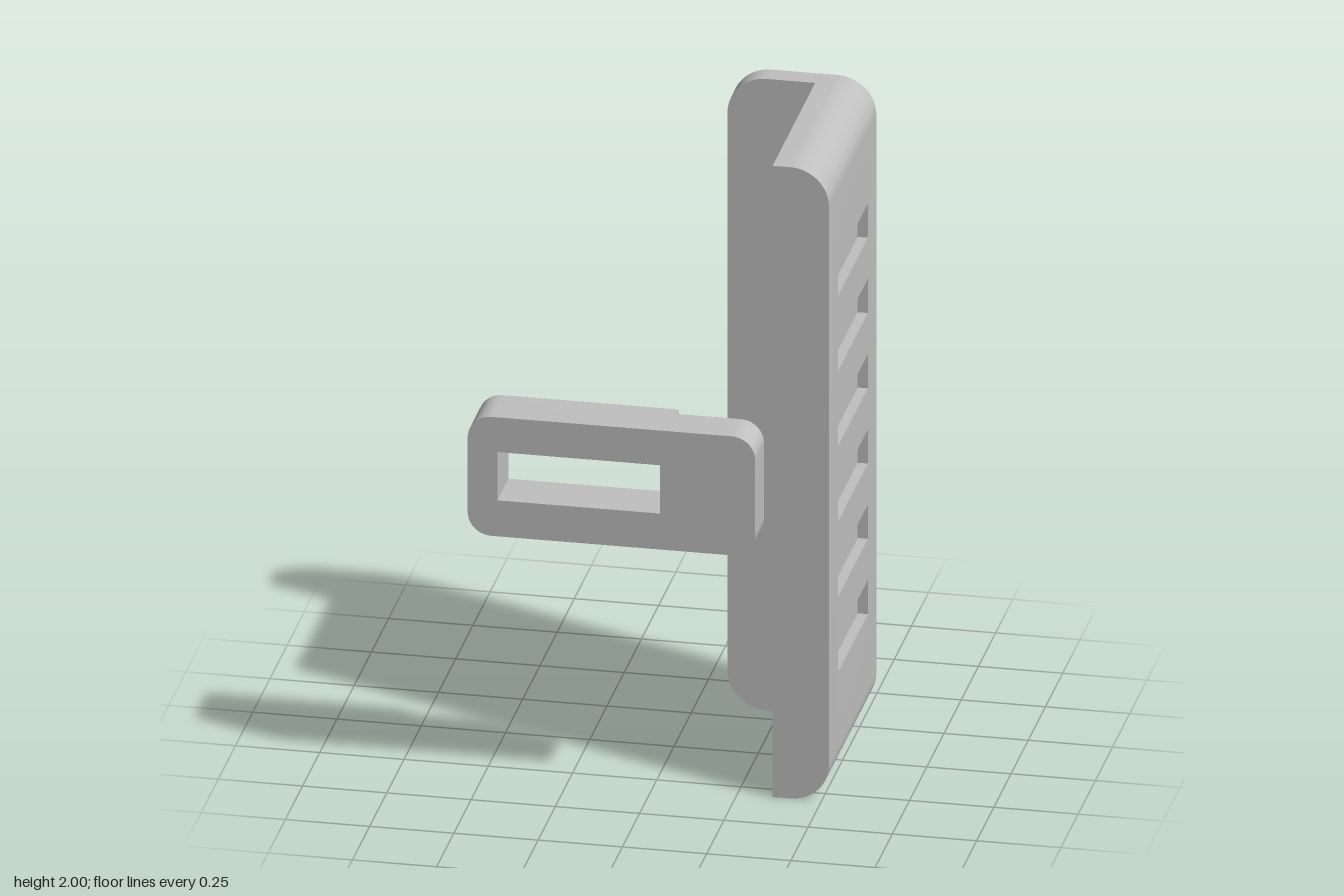
import * as THREE from 'three';
import { toCreasedNormals } from 'three/addons/utils/BufferGeometryUtils.js';

const grey = new THREE.MeshStandardMaterial({ color: 0xc0c0c0 });
grey.name = 'light grey';

// Rectangle with separate corner radii for its -x and +x sides
function roundedRect(x0, x1, y0, y1, rLeft, rRight, notches = []) {
  const s = new THREE.Shape();
  s.moveTo(x0 + rLeft, y0);
  s.lineTo(x1 - rRight, y0);
  if (rRight) s.absarc(x1 - rRight, y0 + rRight, rRight, -Math.PI / 2, 0);
  // Notches cut into the +x edge, listed from bottom to top
  for (const [a, b, depth] of notches) {
    s.lineTo(x1, a);
    s.lineTo(x1 - depth, a);
    s.lineTo(x1 - depth, b);
    s.lineTo(x1, b);
  }
  s.lineTo(x1, y1 - rRight);
  if (rRight) s.absarc(x1 - rRight, y1 - rRight, rRight, 0, Math.PI / 2);
  s.lineTo(x0 + rLeft, y1);
  if (rLeft) s.absarc(x0 + rLeft, y1 - rLeft, rLeft, Math.PI / 2, Math.PI);
  s.lineTo(x0, y0 + rLeft);
  if (rLeft) s.absarc(x0 + rLeft, y0 + rLeft, rLeft, Math.PI, Math.PI * 1.5);
  return s;
}

function extrude(shape, z0, z1) {
  const g = new THREE.ExtrudeGeometry(shape, { depth: z1 - z0, bevelEnabled: false, curveSegments: 12 });
  return g.translate(0, 0, z0);
}

function part(parent, name, geometry) {
  const m = new THREE.Mesh(toCreasedNormals(geometry, 0.5), grey);
  m.name = name;
  parent.add(m);
}

export function createModel() {
  const model = new THREE.Group();
  model.name = 'slottedBracketAndLatch';

  // Tall L-shaped bracket
  const bracket = new THREE.Group();
  bracket.name = 'bracket';
  model.add(bracket);
  const X0 = 0.095, X1 = 0.522, R = 0.115, WALL = 0.355;

  // Back flange with a chamfered rear edge
  const outline = roundedRect(X0, X1, 0, 2, R, R);
  part(bracket, 'backFlange', extrude(outline, -0.383, -0.313));
  const chamfer = extrude(outline, -0.438, -0.383);
  const p = chamfer.attributes.position, cx = (X0 + X1) / 2;
  for (let i = 0; i < p.count; i++) {
    if (p.getZ(i) > -0.41) continue;
    p.setX(i, cx + (p.getX(i) - cx) * 0.832);
    p.setY(i, 1 + (p.getY(i) - 1) * 0.953);
  }
  chamfer.computeVertexNormals();
  part(bracket, 'flangeChamfer', chamfer);

  // Side wall in three lengths, the middle one notched to form the slots
  const slots = [];
  for (let i = 0; i < 6; i++) {
    const y = 0.408 + i * 0.2385;
    slots.push([y - 0.054, y + 0.054, 0.03]);
  }
  const solid = roundedRect(WALL, X1, 0, 2, 0, R);
  const notched = roundedRect(WALL, X1, 0, 2, 0, R, slots);
  part(bracket, 'sideWallRear', extrude(solid, -0.313, -0.26));
  part(bracket, 'slottedSideWall', extrude(notched, -0.26, 0.17));
  part(bracket, 'sideWallFront', extrude(solid, 0.17, 0.305));

  // Separate latch plate: thick end with a window, thinner tongue
  const latch = new THREE.Group();
  latch.name = 'latch';
  model.add(latch);
  const body = roundedRect(-0.523, 0.07, 0.813, 1.19, 0.07, 0);
  const hole = new THREE.Path();
  hole.moveTo(-0.435, 0.927);
  hole.lineTo(-0.435, 1.08);
  hole.lineTo(0.047, 1.08);
  hole.lineTo(0.047, 0.927);
  hole.closePath();
  body.holes.push(hole);
  part(latch, 'latchBody', extrude(body, 0.274, 0.436));
  part(latch, 'latchTongue', extrude(roundedRect(0.07, 0.33, 0.813, 1.19, 0, 0.07), 0.307, 0.436));

  return model;
}
